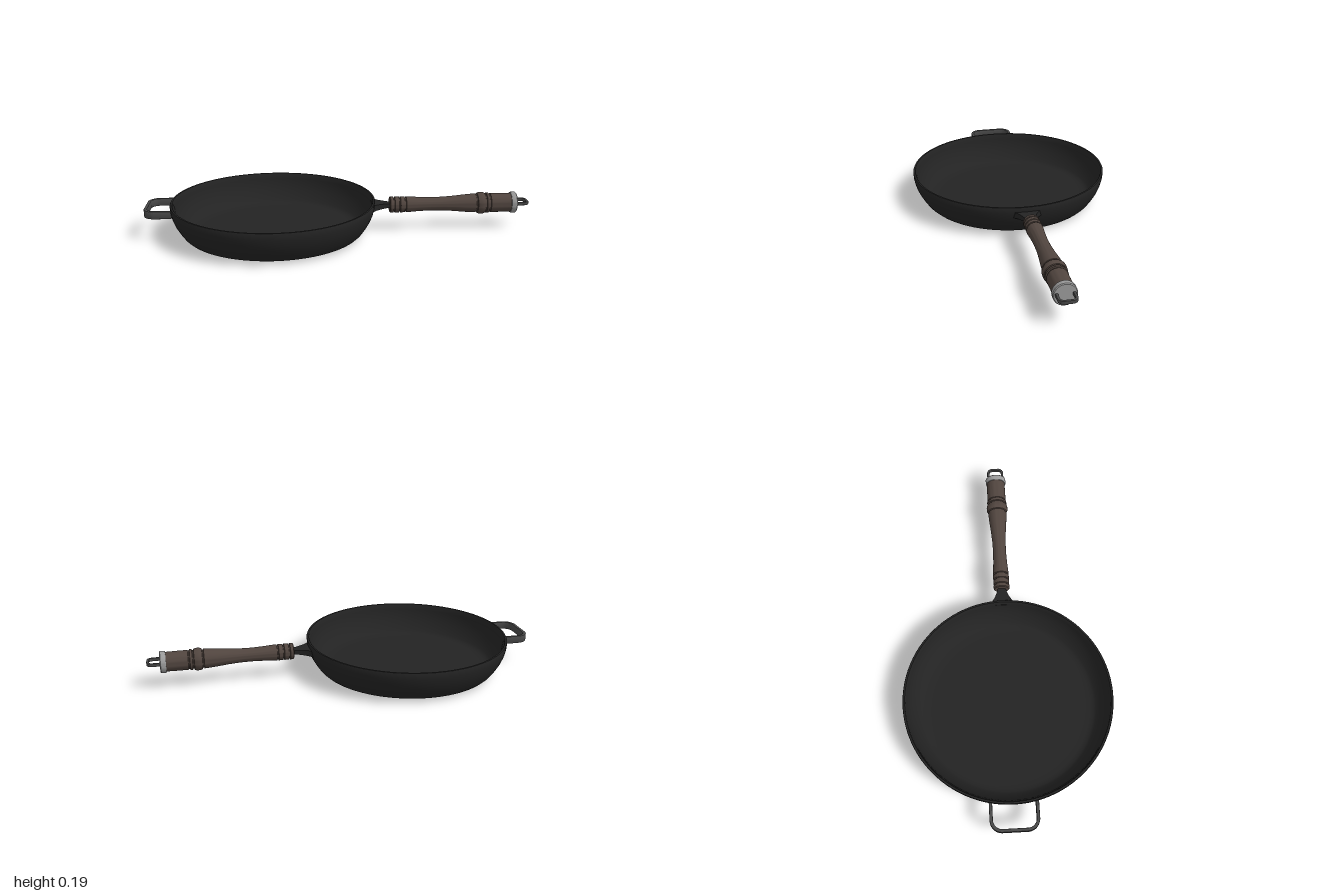
import * as THREE from 'three';
import { toCreasedNormals } from 'three/addons/utils/BufferGeometryUtils.js';

const PAN_X = -0.345, AXIS_Y = 0.139;
const iron = new THREE.MeshStandardMaterial({ color: 0x232323 });
const wood = new THREE.MeshStandardMaterial({ color: 0x51453f });
const steel = new THREE.MeshStandardMaterial({ color: 0x9a9a9a });
const darkSteel = new THREE.MeshStandardMaterial({ color: 0x484848 });

function add(group, name, geometry, material, x = 0, y = 0) {
  const mesh = new THREE.Mesh(geometry, material);
  mesh.name = name;
  mesh.position.set(x, y, 0);
  group.add(mesh);
  return mesh;
}

function lathe(points, segments, crease = 0.6) {
  const profile = points.map(([r, y]) => new THREE.Vector2(r, y));
  return toCreasedNormals(new THREE.LatheGeometry(profile, segments), crease);
}

// Turned part along +x, from [x, radius] pairs
function turned(points) {
  return lathe(points.map(([x, r]) => [r, x]), 40).rotateZ(-Math.PI / 2);
}

// Plan shape (x, z) extruded to a height, centred on y = 0
function slab(shape, height, bevel) {
  const geometry = new THREE.ExtrudeGeometry(shape, {
    depth: height - 2 * bevel, bevelEnabled: bevel > 0, bevelThickness: bevel,
    bevelSize: bevel, bevelOffset: -bevel, bevelSegments: 2, curveSegments: 14,
  });
  geometry.translate(0, 0, -height / 2 + bevel).rotateX(Math.PI / 2);
  return toCreasedNormals(geometry, 0.6);
}

// Flat U-shaped band, open at x = 0 and reaching to x = length
function band(length, half, corner, thickness, height, bevel) {
  const shape = new THREE.Shape();
  const l = length - thickness, h = half - thickness, c = corner - thickness;
  shape.moveTo(0, -half);
  shape.lineTo(length - corner, -half);
  shape.absarc(length - corner, -half + corner, corner, -Math.PI / 2, 0);
  shape.absarc(length - corner, half - corner, corner, 0, Math.PI / 2);
  shape.lineTo(0, half);
  shape.lineTo(0, h);
  shape.absarc(l - c, h - c, c, Math.PI / 2, 0, true);
  shape.absarc(l - c, -h + c, c, 0, -Math.PI / 2, true);
  shape.lineTo(0, -h);
  shape.closePath();
  return slab(shape, height, bevel);
}

export function createModel() {
  const model = new THREE.Group();
  model.name = 'fryingPan';

  // Bowl: outside from the base up, over the rim, and down the inside
  const bowl = [
    [0, 0.003], [0.3, 0.003], [0.4, 0.005], [0.435, 0.009], [0.457, 0.018], [0.472, 0.032],
    [0.49, 0.058], [0.507, 0.088], [0.519, 0.118], [0.526, 0.148], [0.528, 0.176], [0.526, 0.18],
    [0.517, 0.18], [0.514, 0.176], [0.511, 0.148], [0.504, 0.118], [0.492, 0.088], [0.475, 0.06],
    [0.457, 0.036], [0.445, 0.026], [0.425, 0.021], [0.39, 0.019], [0, 0.018],
  ];
  add(model, 'bowl', lathe(bowl, 96, 0.9), iron, PAN_X);

  // Small loop handle opposite the grip
  const loop = add(model, 'helperHandle', band(0.145, 0.121, 0.06, 0.016, 0.04, 0.003), darkSteel, -0.855, 0.144);
  loop.rotation.y = Math.PI;

  // Flared bracket, thinning towards the grip
  const flare = new THREE.Shape();
  flare.moveTo(0.165, -0.078);
  flare.quadraticCurveTo(0.2, -0.03, 0.29, -0.015);
  flare.lineTo(0.29, 0.015);
  flare.quadraticCurveTo(0.2, 0.03, 0.165, 0.078);
  flare.closePath();
  const bracket = slab(flare, 0.034, 0);
  const pos = bracket.attributes.position;
  for (let i = 0; i < pos.count; i++) {
    const t = (pos.getX(i) - 0.165) / 0.125;
    pos.setY(i, pos.getY(i) * (1 - 0.5 * t));
  }
  add(model, 'bracket', toCreasedNormals(bracket, 0.6), iron, 0, AXIS_Y);

  // Wooden grip: three turned rings, a waisted shaft and a ringed collar
  const grip = [[0.262, 0], [0.262, 0.038], [0.266, 0.042]];
  for (const x of [0.285, 0.315, 0.345]) {
    grip.push([x - 0.004, 0.042], [x - 0.002, 0.036], [x + 0.002, 0.036], [x + 0.004, 0.042]);
  }
  grip.push(
    [0.365, 0.041], [0.42, 0.037], [0.48, 0.035], [0.54, 0.036], [0.6, 0.04], [0.66, 0.046], [0.7, 0.049],
    [0.718, 0.05], [0.72, 0.046], [0.725, 0.046], [0.727, 0.052], [0.737, 0.057], [0.757, 0.057], [0.767, 0.053],
    [0.769, 0.047], [0.774, 0.047], [0.776, 0.053], [0.788, 0.053], [0.79, 0.047], [0.795, 0.047],
    [0.797, 0.05], [0.85, 0.05], [0.912, 0.049], [0.912, 0],
  );
  add(model, 'grip', turned(grip), wood, 0, AXIS_Y);

  // Metal end cap and hanging loop
  const cap = [[0.905, 0], [0.905, 0.053], [0.908, 0.055], [0.931, 0.055], [0.935, 0.051], [0.935, 0]];
  add(model, 'endCap', turned(cap), steel, 0, AXIS_Y);
  add(model, 'hangingLoop', band(0.075, 0.045, 0.028, 0.013, 0.018, 0.004), darkSteel, 0.925, AXIS_Y + 0.003);

  return model;
}
